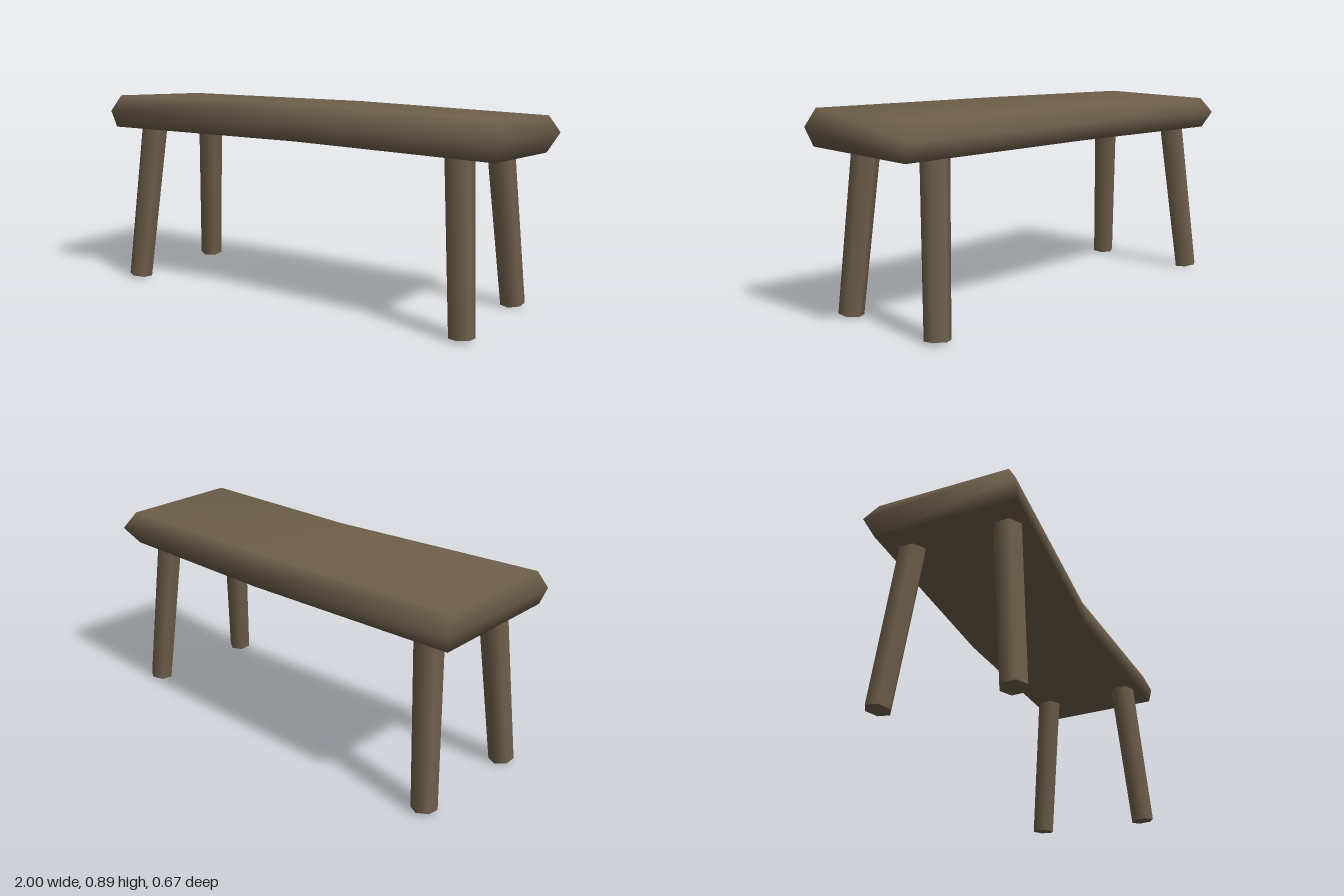
import * as THREE from 'three';

// Worn plank: a six-sided section [z, y] at three stations along x.
// Order: top front, top back, back tip, bottom back, bottom front, front tip.
// "inset" pulls the top and bottom corners in so each end forms a ridge.
const STATIONS = [
  { x: -1.0, inset: 0.03, ring: [[0.29, 0.888], [-0.27, 0.865], [-0.32, 0.795], [-0.28, 0.72], [0.325, 0.74], [0.33, 0.815]] },
  { x: 0.03, inset: 0, ring: [[0.23, 0.889], [-0.29, 0.865], [-0.335, 0.795], [-0.31, 0.72], [0.265, 0.73], [0.27, 0.81]] },
  { x: 1.0, inset: -0.035, ring: [[0.3, 0.876], [-0.25, 0.85], [-0.305, 0.775], [-0.24, 0.694], [0.325, 0.72], [0.333, 0.8]] },
];

function plankGeometry() {
  const positions = [];
  const index = [];
  const quad = (a, b, c, d) => index.push(a, b, c, a, c, d);
  for (const { x, inset, ring } of STATIONS) {
    ring.forEach(([z, y], i) => positions.push(i === 2 || i === 5 ? x : x + inset, y, z));
  }
  for (let s = 0; s < STATIONS.length - 1; s++) {
    for (let i = 0; i < 6; i++) {
      const j = (i + 1) % 6;
      quad(s * 6 + i, s * 6 + 6 + i, s * 6 + 6 + j, s * 6 + j);
    }
  }
  // Ridged ends: an upper and a lower face meeting between the tips
  quad(0, 1, 2, 5);
  quad(5, 2, 3, 4);
  quad(12, 17, 14, 13);
  quad(17, 16, 15, 14);
  const geometry = new THREE.BufferGeometry();
  geometry.setAttribute('position', new THREE.Float32BufferAttribute(positions, 3));
  geometry.setIndex(index);
  geometry.computeVertexNormals();
  return geometry;
}

// Tapered six-sided leg between two points
function makeLeg(name, top, bottom, material) {
  const axis = new THREE.Vector3().subVectors(top, bottom);
  const leg = new THREE.Mesh(new THREE.CylinderGeometry(0.06, 0.054, axis.length(), 6), material);
  leg.name = name;
  leg.position.addVectors(top, bottom).multiplyScalar(0.5);
  leg.quaternion.setFromUnitVectors(new THREE.Vector3(0, 1, 0), axis.normalize());
  return leg;
}

export function createModel() {
  const model = new THREE.Group();
  model.name = 'bench';
  const wood = new THREE.MeshStandardMaterial({ color: 0x6f5f4b });
  wood.name = 'weathered wood';

  const seat = new THREE.Mesh(plankGeometry(), wood);
  seat.name = 'seat';
  model.add(seat);

  // Four splayed legs
  for (const [side, xTop, xBottom] of [['Right', -0.815, -0.888], ['Left', 0.775, 0.837]]) {
    for (const [end, zTop, zBottom] of [['front', 0.22, 0.284], ['back', -0.188, -0.255]]) {
      model.add(makeLeg(`${end}${side}Leg`,
        new THREE.Vector3(xTop, 0.78, zTop), new THREE.Vector3(xBottom, 0.008, zBottom), wood));
    }
  }
  return model;
}
